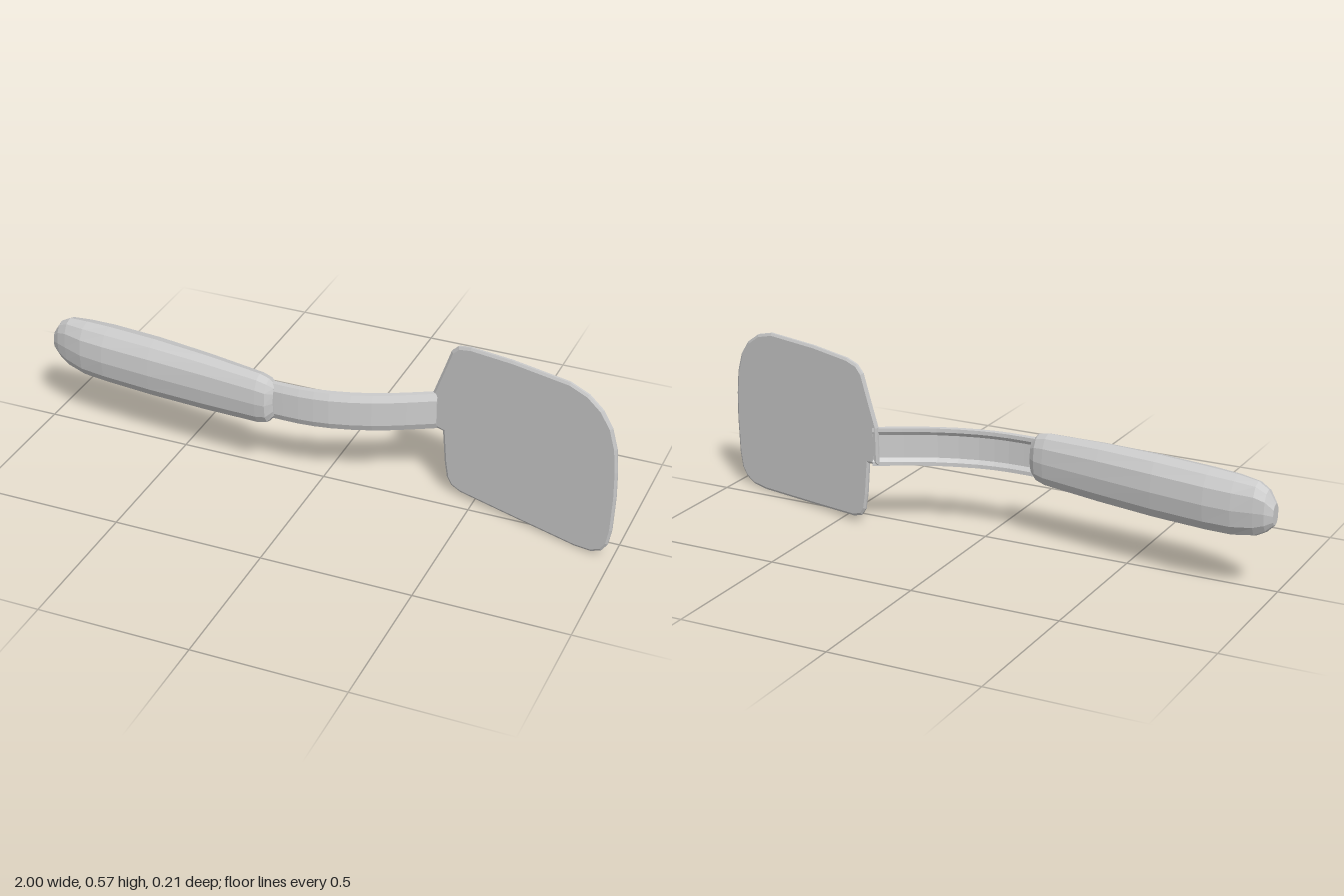
import * as THREE from 'three';

const grey = new THREE.MeshStandardMaterial({ color: 0xcccccc, flatShading: true });

// Skins a unit (z, y) section over stations [x, yMin, yMax, zMin, zMax], closed at both ends.
function loft(name, section, stations) {
  const n = section.length, pos = [], index = [];
  for (const [x, y0, y1, z0, z1] of stations) {
    for (const [z, y] of section) {
      pos.push(x, (y0 + y1) / 2 + y * (y1 - y0) / 2, (z0 + z1) / 2 + z * (z1 - z0) / 2);
    }
  }
  for (let i = 0; i < stations.length - 1; i++) {
    for (let j = 0; j < n; j++) {
      const k = (j + 1) % n, a = i * n, b = a + n;
      index.push(a + j, b + j, b + k, a + j, b + k, a + k);
    }
  }
  [0, stations.length - 1].forEach((i, end) => {
    const [x, y0, y1, z0, z1] = stations[i], centre = pos.length / 3;
    pos.push(x, (y0 + y1) / 2, (z0 + z1) / 2);
    for (let j = 0; j < n; j++) {
      const p = i * n + j, q = i * n + (j + 1) % n;
      index.push(centre, end ? q : p, end ? p : q);
    }
  });
  const geometry = new THREE.BufferGeometry();
  geometry.setAttribute('position', new THREE.Float32BufferAttribute(pos, 3));
  geometry.setIndex(index);
  geometry.computeVertexNormals();
  const mesh = new THREE.Mesh(geometry, grey);
  mesh.name = name;
  return mesh;
}

// Faceted grip with a slightly squared oval section
function makeHandle() {
  const section = [];
  const squash = v => Math.sign(v) * Math.pow(Math.abs(v), 0.85);
  for (let i = 0; i < 12; i++) {
    const a = i / 12 * Math.PI * 2;
    section.push([squash(Math.cos(a)), squash(Math.sin(a))]);
  }
  return loft('handle', section, [
    [-1.00, 0.235, 0.305, -0.075, -0.03],
    [-0.975, 0.21, 0.345, -0.09, -0.012],
    [-0.94, 0.19, 0.365, -0.095, 0.003],
    [-0.87, 0.178, 0.372, -0.10, 0.028],
    [-0.78, 0.177, 0.376, -0.097, 0.045],
    [-0.60, 0.178, 0.38, -0.073, 0.066],
    [-0.40, 0.184, 0.378, -0.038, 0.084],
    [-0.20, 0.195, 0.37, -0.002, 0.10],
    [-0.165, 0.205, 0.362, 0.008, 0.10],
    [-0.145, 0.228, 0.342, 0.025, 0.075],
  ]);
}

// Curved metal strip with bevelled front edges and a shallow channel in the back
function makeNeck() {
  const section = [
    [1, -0.65], [1, 0.65], [0.3, 1], [-1, 1], [-1, 0.8],
    [-0.35, 0.6], [-0.35, -0.6], [-1, -0.8], [-1, -1], [0.3, -1],
  ];
  const path = new THREE.CatmullRomCurve3([
    [-0.17, 0.052], [-0.06, 0.053], [0.04, 0.04], [0.17, 0.0], [0.27, -0.048], [0.355, -0.094],
  ].map(([x, z]) => new THREE.Vector3(x, 0.284, z)));
  return loft('neck', section, path.getPoints(10).map(p =>
    [p.x, 0.22, 0.348, p.z - 0.015, p.z + 0.014]));
}

// Thin flat blade, cut from its outline and sloped forward towards its tip
function makeBlade() {
  const outline = [
    [0.335, 0.225], [0.378, 0.22], [0.388, 0.11], [0.398, 0.055], [0.415, 0.03], [0.45, 0.018],
    [0.62, 0.01], [0.87, 0], [0.93, 0.006], [0.965, 0.025], [0.985, 0.055], [0.995, 0.11],
    [1, 0.23], [0.998, 0.32], [0.99, 0.40], [0.97, 0.465], [0.935, 0.515], [0.885, 0.55],
    [0.82, 0.568], [0.62, 0.567], [0.47, 0.557], [0.425, 0.545], [0.40, 0.52],
    [0.375, 0.45], [0.338, 0.35],
  ].map(p => new THREE.Vector2(...p));
  const geometry = new THREE.ExtrudeGeometry(new THREE.Shape(outline), {
    depth: 0.008, bevelEnabled: true, bevelThickness: 0.005,
    bevelSize: 0.008, bevelOffset: -0.008, bevelSegments: 1,
  });
  const p = geometry.attributes.position;
  for (let i = 0; i < p.count; i++) {
    p.setZ(i, p.getZ(i) - 0.101 + (p.getX(i) - 0.345) * 0.287);
  }
  geometry.computeVertexNormals();
  const mesh = new THREE.Mesh(geometry, grey);
  mesh.name = 'blade';
  return mesh;
}

export function createModel() {
  const group = new THREE.Group();
  group.name = 'spatula';
  group.add(makeHandle(), makeNeck(), makeBlade());
  return group;
}
